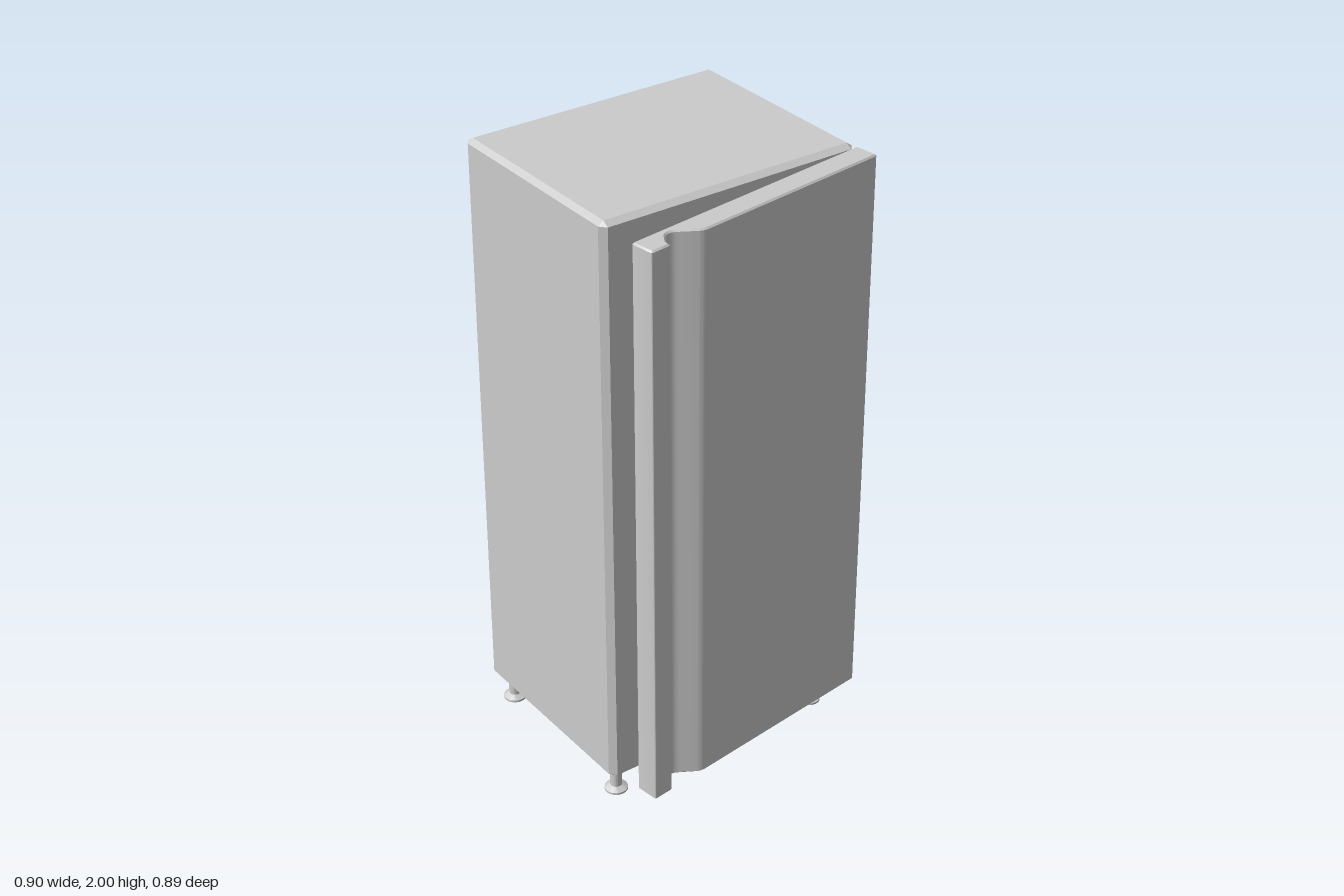
import * as THREE from 'three';
import { ConvexGeometry } from 'three/addons/geometries/ConvexGeometry.js';
import { toCreasedNormals } from 'three/addons/utils/BufferGeometryUtils.js';

const material = new THREE.MeshStandardMaterial({ color: 0xcccccc });

function addMesh(parent, name, geometry, x = 0, y = 0, z = 0) {
  const mesh = new THREE.Mesh(geometry, material);
  mesh.name = name;
  mesh.position.set(x, y, z);
  parent.add(mesh);
  return mesh;
}

// Box with every edge cut by a flat chamfer (half sizes and cut per axis)
function chamferedBox(h, c) {
  const points = [];
  for (const sx of [-1, 1]) for (const sy of [-1, 1]) for (const sz of [-1, 1]) {
    for (const face of ['x', 'y', 'z']) {
      const p = h.clone().sub(c);
      p[face] = h[face];
      points.push(p.multiply(new THREE.Vector3(sx, sy, sz)));
    }
  }
  return new ConvexGeometry(points);
}

// Door outline seen from above, with a scooped grip near its free edge
function doorGeometry(bottom, top) {
  const s = new THREE.Shape();
  const line = (x, z) => s.lineTo(x, -z);
  const curve = (cx, cz, x, z) => s.quadraticCurveTo(cx, -cz, x, -z);
  s.moveTo(0.256, 0.428);
  curve(0.255, -0.435, 0.262, -0.436);
  line(0.325, -0.445);
  curve(0.332, -0.446, 0.333, -0.439);
  line(0.42, 0.213);
  curve(0.422, 0.228, 0.415, 0.242);
  line(0.388, 0.288);
  curve(0.366, 0.322, 0.397, 0.341);
  line(0.416, 0.352);
  curve(0.422, 0.356, 0.43, 0.355);
  curve(0.439, 0.353, 0.44, 0.36);
  line(0.447, 0.415);
  curve(0.448, 0.422, 0.441, 0.423);
  line(0.379, 0.432);
  curve(0.372, 0.433, 0.37, 0.426);
  s.closePath();
  const bevel = 0.005;
  const geometry = new THREE.ExtrudeGeometry(s, {
    depth: top - bottom - 2 * bevel, curveSegments: 6,
    bevelThickness: bevel, bevelSize: bevel, bevelOffset: -bevel, bevelSegments: 1,
  });
  geometry.rotateX(-Math.PI / 2).translate(0, bottom + bevel, 0);
  return toCreasedNormals(geometry, 0.5);
}

// Levelling foot: flared pad, stem and mounting flange
function footGeometry() {
  const profile = [[0, 0], [0.037, 0], [0.037, 0.007], [0.019, 0.018],
    [0.019, 0.068], [0.043, 0.09], [0.043, 0.098], [0, 0.098]];
  const lathe = new THREE.LatheGeometry(profile.map(([r, y]) => new THREE.Vector2(r, y)), 24);
  return toCreasedNormals(lathe, 0.5);
}

export function createModel() {
  const model = new THREE.Group();
  model.name = 'cabinet';

  // Main body
  const half = new THREE.Vector3(0.35, 0.953, 0.44);
  const cut = new THREE.Vector3(0.021, 0.013, 0.018);
  addMesh(model, 'body', chamferedBox(half, cut), -0.1, 1.047, 0.003);

  // Door standing slightly open beside the body
  addMesh(model, 'door', doorGeometry(0.14, 1.995));

  // Four feet
  const foot = footGeometry();
  for (const x of [-0.393, 0.189]) for (const z of [-0.382, 0.389]) {
    addMesh(model, 'foot', foot, x, 0, z);
  }
  return model;
}
